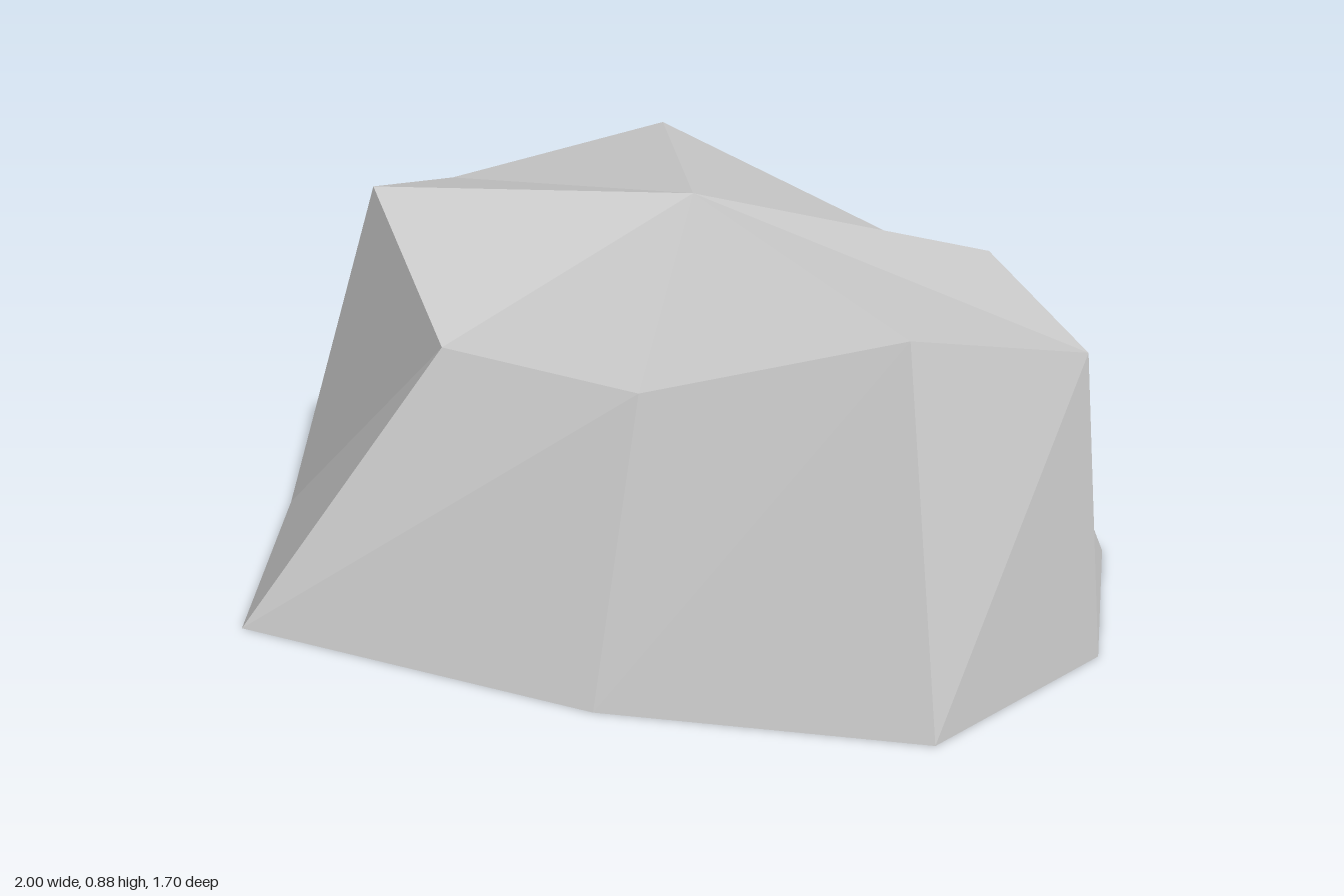
import * as THREE from 'three';

// Ground outline (x, z), running from the right side past the front and round the back
const base = [
  [-1, -0.22], [-0.945, 0.29], [-0.65, 0.85], [0.2, 0.78], [0.865, 0.55],
  [1, 0.04], [0.81, -0.43], [0.23, -0.85], [-0.51, -0.6],
];
// Shoulder of the rock (x, y, z), one corner above each ground corner
const rim = [
  [-0.78, 0.695, -0.18], [-0.7, 0.815, 0.24], [-0.33, 0.605, 0.52], [0.2, 0.64, 0.59], [0.73, 0.81, 0.44],
  [0.94, 0.685, 0.04], [0.575, 0.74, -0.26], [0.21, 0.595, -0.58], [-0.4, 0.8, -0.515],
];
const peak = [0.03, 0.88, 0.08];

function facets(name, triangles, material) {
  const geometry = new THREE.BufferGeometry();
  geometry.setAttribute('position', new THREE.Float32BufferAttribute(triangles.flat(), 3));
  geometry.computeVertexNormals(); // unshared corners keep every facet flat
  const mesh = new THREE.Mesh(geometry, material);
  mesh.name = name;
  return mesh;
}

export function createModel() {
  const stone = new THREE.MeshStandardMaterial({ color: 0xcccccc, flatShading: true, side: THREE.DoubleSide });
  stone.name = 'stone grey';

  const sides = [];
  const top = [];
  const ground = base.map(([x, z]) => [x, 0, z]);
  for (let i = 0; i < rim.length; i++) {
    const j = (i + 1) % rim.length;
    sides.push(ground[i], ground[j], rim[j], ground[i], rim[j], rim[i]);
    top.push(rim[i], rim[j], peak);
  }

  // Hollow shell, open underneath
  const rock = new THREE.Group();
  rock.name = 'rock';
  rock.add(facets('rockSides', sides, stone), facets('rockTop', top, stone));
  return rock;
}
